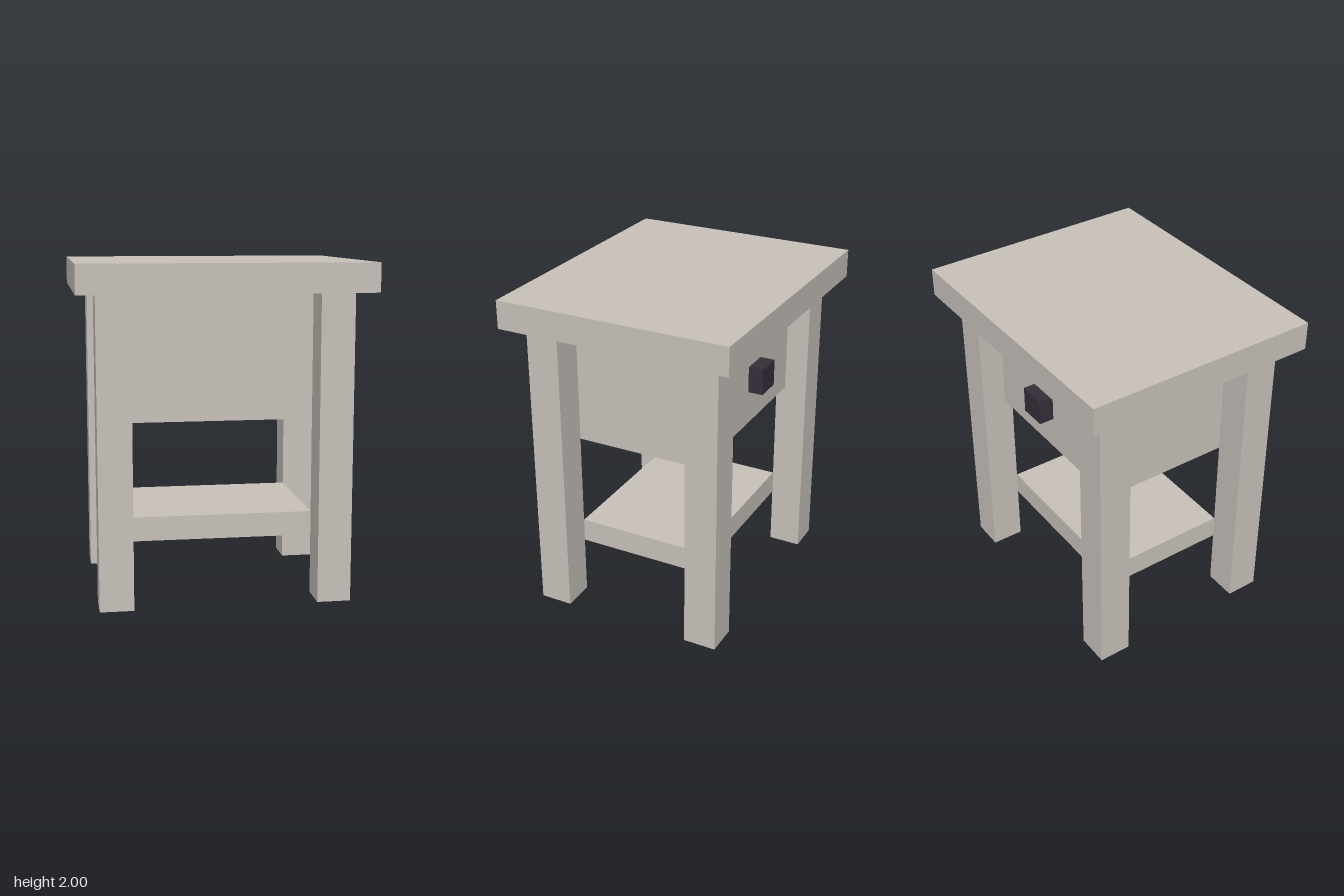
import * as THREE from 'three';

export function createModel() {
  const model = new THREE.Group();
  model.name = 'nightstand';

  const paintedWood = new THREE.MeshStandardMaterial({ color: 0xc9c2bb });
  paintedWood.name = 'painted wood';
  const darkKnob = new THREE.MeshStandardMaterial({ color: 0x352e3a });
  darkKnob.name = 'dark knob';

  // Box given by its lower and upper bounds on each axis
  function addBox(name, [x0, x1], [y0, y1], [z0, z1], material = paintedWood) {
    const mesh = new THREE.Mesh(new THREE.BoxGeometry(x1 - x0, y1 - y0, z1 - z0), material);
    mesh.position.set((x0 + x1) / 2, (y0 + y1) / 2, (z0 + z1) / 2);
    mesh.name = name;
    model.add(mesh);
  }

  const topUnderside = 1.83;
  const innerX = 0.543, outerX = 0.743;
  const innerZ = 0.4, outerZ = 0.6;

  // Overhanging top
  addBox('tableTop', [-0.855, 0.855], [topUnderside, 2], [-0.712, 0.712]);

  // Four square legs
  for (const [side, sx] of [['Left', 1], ['Right', -1]]) {
    for (const [end, sz] of [['front', 1], ['back', -1]]) {
      const xs = [sx * innerX, sx * outerX].sort((a, b) => a - b);
      const zs = [sz * innerZ, sz * outerZ].sort((a, b) => a - b);
      addBox(`${end}${side}Leg`, xs, [0, topUnderside], zs);
    }
  }

  // Cabinet and lower shelf fill the space between the legs
  addBox('cabinet', [-innerX, innerX], [1.07, topUnderside], [-innerZ, innerZ]);
  addBox('shelf', [-innerX, innerX], [0.36, 0.505], [-innerZ, innerZ]);

  // Drawer front and knob stand out on the -z side
  addBox('drawerFront', [-0.49, 0.49], [1.17, 1.74], [-0.48, -innerZ]);
  addBox('drawerKnob', [-0.083, 0.083], [1.375, 1.535], [-0.57, -0.48], darkKnob);

  return model;
}
